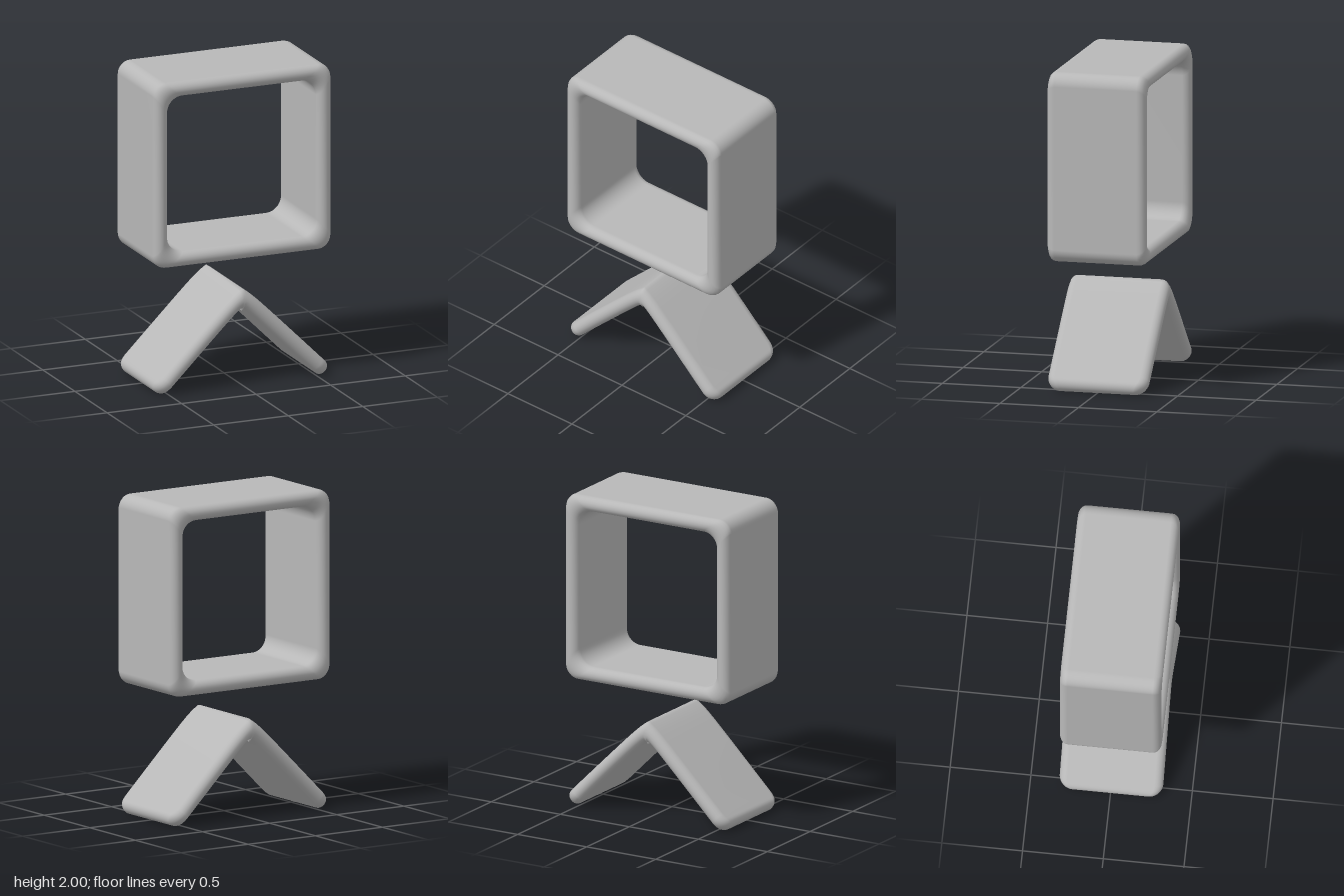
import * as THREE from 'three';

const HALF_THICK = 0.0475;

// Closed plate section: t runs across the thickness (-1..1), z is a side (+-1) plus a rounded edge
function sectionPoints(steps = 10) {
  const pts = [];
  for (const side of [1, -1]) {
    for (let i = 0; i <= steps; i++) {
      const a = (i / steps) * Math.PI + (side < 0 ? Math.PI : 0);
      pts.push({ t: Math.cos(a), side, edge: Math.sin(a) });
    }
  }
  return pts;
}

// Skin between successive rings of points
function skin(rings, closed) {
  const n = rings[0].length;
  const index = [];
  const last = closed ? rings.length : rings.length - 1;
  for (let i = 0; i < last; i++) {
    const k = (i + 1) % rings.length;
    for (let j = 0; j < n; j++) {
      const m = (j + 1) % n;
      const a = i * n + j, b = k * n + j, c = k * n + m, d = i * n + m;
      index.push(a, b, c, a, c, d);
    }
  }
  const geo = new THREE.BufferGeometry();
  geo.setAttribute('position', new THREE.Float32BufferAttribute(rings.flat(2), 3));
  geo.setIndex(index);
  geo.computeVertexNormals();
  return geo;
}

// Square frame: each section point follows its own rounded square
function frameGeometry() {
  const section = sectionPoints();
  const mid = 0.5475, halfDepth = 0.315, bevel = 0.052, steps = 10;
  const rings = [];
  for (let q = 0; q < 4; q++) {
    const mx = q === 0 || q === 3 ? 1 : -1;
    const my = q < 2 ? 1 : -1;
    for (let i = 0; i <= steps; i++) {
      const a = (q + i / steps) * Math.PI / 2;
      rings.push(section.map(({ t, side, edge }) => {
        const radius = 0.092 - 0.01 * t;
        const c = mid + HALF_THICK * t - radius;
        return [
          mx * c + radius * Math.cos(a),
          my * c + radius * Math.sin(a),
          side * (halfDepth - bevel) + bevel * edge,
        ];
      }));
    }
  }
  return skin(rings, true);
}

// Bent plate: two 45 degree arms with a soft ridge and rounded feet
function bentPlateGeometry() {
  const section = sectionPoints();
  const end = 0.567, corner = 0.09, halfDepth = 0.321;
  const half = [];
  for (let i = 0; i <= 12; i++) {
    half.push(end - corner * (1 - Math.cos(i / 12 * Math.PI / 2)) * Math.SQRT1_2);
  }
  half.push(0.4, 0.3, 0.22, 0.16, 0.12, 0.09, 0.07, 0.05, 0.035, 0.022, 0.01);
  const stations = [...half, 0, ...half.map((s) => -s).reverse()];
  const round = (d, r) => Math.sqrt(Math.max(0, 1 - (1 - Math.min(d / r, 1)) ** 2));

  const rings = stations.map((s) => {
    const d = (end - Math.abs(s)) * Math.SQRT2;
    const h = HALF_THICK * round(d, HALF_THICK);
    const w = halfDepth - corner * (1 - round(d, corner));
    const bevel = Math.max(h * 1.1, 0.002);
    const lean = s / Math.hypot(s, 0.0325);
    const nx = Math.SQRT1_2 * lean;
    const ny = Math.SQRT1_2 + 0.82 * (1 - Math.abs(lean));
    return section.map(({ t, side, edge }) => [
      s + nx * h * t,
      0.58 - Math.hypot(s, 0.0325) + ny * h * t,
      side * (w - bevel) + bevel * edge,
    ]);
  });
  return skin(rings, false);
}

export function createModel() {
  const grey = new THREE.MeshStandardMaterial({ color: 0xb8b8b8 });
  grey.name = 'grey';

  const model = new THREE.Group();
  model.name = 'frameOverBentPlate';

  const frame = new THREE.Mesh(frameGeometry(), grey);
  frame.name = 'squareFrame';
  frame.position.y = 1.405;

  const plate = new THREE.Mesh(bentPlateGeometry(), grey);
  plate.name = 'bentPlate';

  model.add(frame, plate);
  return model;
}
